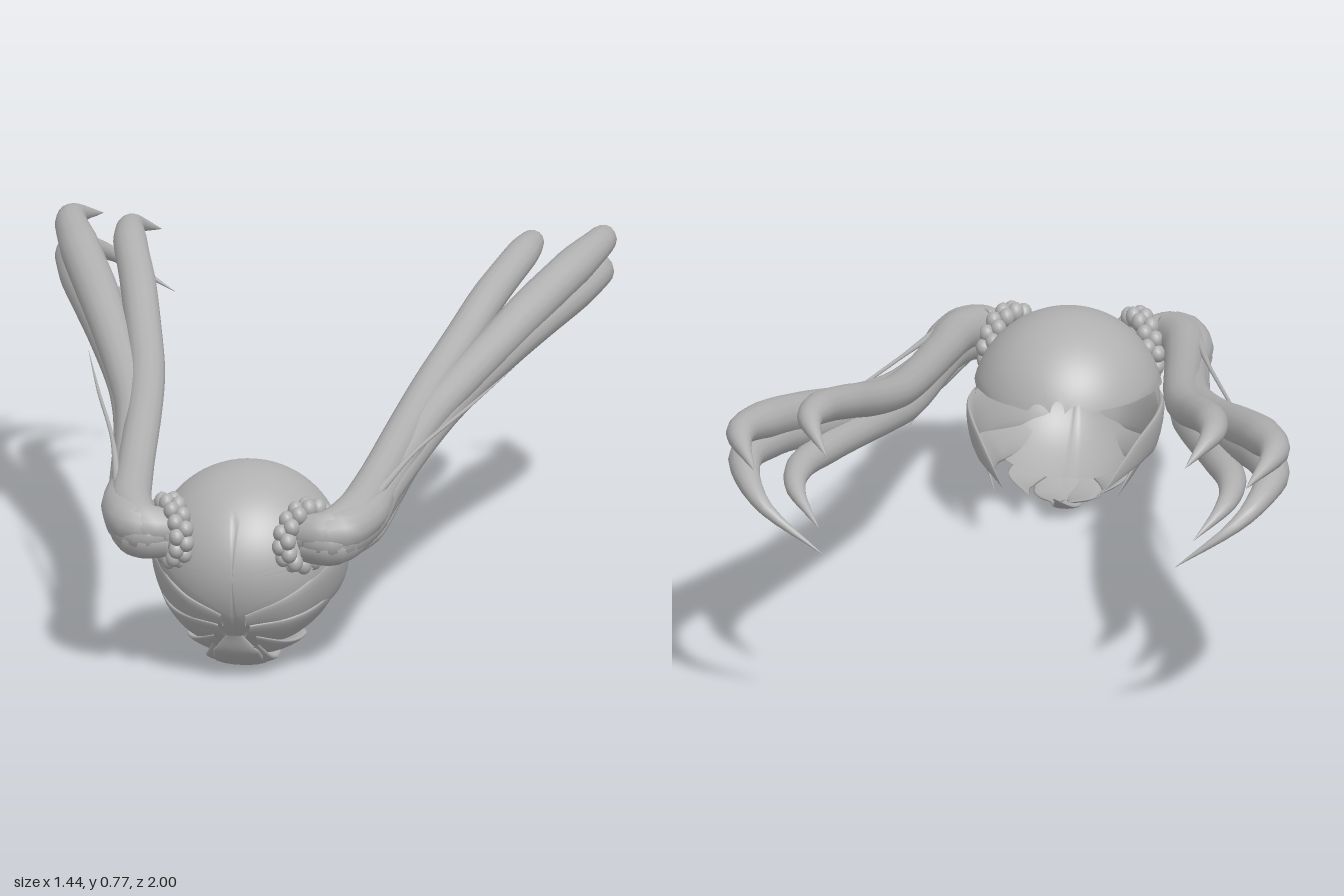
import * as THREE from 'three';

const hair = new THREE.MeshStandardMaterial({ color: 0xb0b0b0, side: THREE.DoubleSide });
hair.name = 'hair grey';

const C = new THREE.Vector3(0, 0.29, 0.72); // middle of the head
const R = new THREE.Vector3(0.245, 0.24, 0.265);

function gridMesh(name, pos, rows, cols, flip) {
  const index = [];
  for (let j = 0; j < rows; j++) for (let i = 0; i < cols; i++) {
    const k = (i + 1) % cols;
    const a = j * cols + i, b = j * cols + k, c = a + cols, d = b + cols;
    if (flip) index.push(a, c, b, b, c, d);
    else index.push(a, b, c, b, d, c);
  }
  const g = new THREE.BufferGeometry();
  g.setAttribute('position', new THREE.Float32BufferAttribute(pos, 3));
  g.setIndex(index);
  g.computeVertexNormals();
  const mesh = new THREE.Mesh(g, hair);
  mesh.name = name;
  return mesh;
}

// Ellipsoid shell around the +z pole, cut off at rim(angle from +y)
function shell(name, scale, rim) {
  const rows = 36, cols = 120, pos = [];
  for (let j = 0; j <= rows; j++) for (let i = 0; i < cols; i++) {
    const a = (i / cols) * Math.PI * 2;
    const half = Math.min(a, Math.PI * 2 - a);
    const t = Math.max(0.001, (j / rows) * rim(half));
    const seam = (i === cols / 2 || (i === 0 && t < 0.65)) && j > 0 ? 0.985 : 1;
    const s = scale * seam;
    pos.push(C.x + R.x * s * Math.sin(t) * Math.sin(a),
      C.y + R.y * s * Math.sin(t) * Math.cos(a),
      C.z + R.z * s * Math.cos(t));
  }
  return gridMesh(name, pos, rows, cols, false);
}

// Tapering lock: points are [x, y, z, half width]; flat = thickness / width.
// Its broad face looks away from the head, or upwards when up is true.
function lock(name, points, side, flat, up) {
  const rows = 48, cols = 14, pos = [];
  const curve = new THREE.CatmullRomCurve3(
    points.map(p => new THREE.Vector3(p[0] * side, p[1], p[2])), false, 'centripetal');
  for (let j = 0; j <= rows; j++) {
    const u = j / rows;
    const p = curve.getPoint(u), T = curve.getTangent(u);
    const f = u * (points.length - 1), k = Math.min(points.length - 2, Math.floor(f));
    const w = THREE.MathUtils.lerp(points[k][3], points[k + 1][3], f - k) + 0.0004;
    const out = up ? new THREE.Vector3(0, 1, 0) : p.clone().sub(C).divide(R).divide(R);
    const S = new THREE.Vector3().crossVectors(T, out).normalize();
    const N = new THREE.Vector3().crossVectors(S, T).normalize();
    for (let i = 0; i < cols; i++) {
      const a = (i / cols) * Math.PI * 2;
      const v = p.clone().addScaledVector(S, Math.cos(a) * w).addScaledVector(N, Math.sin(a) * w * flat);
      pos.push(v.x, v.y, v.z);
    }
  }
  return gridMesh(name, pos, rows, cols, true);
}

const tailLocks = {
  tailInnerLock: [[.17, .40, .90, .05], [.24, .41, .915, .058], [.285, .43, .82, .056], [.31, .46, .6, .048],
    [.345, .525, .2, .046], [.37, .565, 0, .046], [.41, .62, -.2, .046], [.455, .685, -.4, .046],
    [.505, .738, -.6, .043], [.515, .745, -.71, .03], [.46, .70, -.84, 0]],
  tailLowerLock: [[.18, .37, .90, .05], [.25, .375, .915, .055], [.30, .39, .8, .05], [.325, .41, .6, .045],
    [.36, .46, .2, .044], [.40, .495, 0, .044], [.45, .53, -.2, .044], [.51, .555, -.4, .044],
    [.555, .567, -.58, .036], [.55, .555, -.71, .024], [.48, .50, -.83, 0]],
  tailUpperOuterLock: [[.17, .39, .90, .05], [.26, .41, .915, .058], [.31, .42, .8, .055], [.325, .44, .6, .045],
    [.375, .51, .2, .045], [.425, .55, 0, .048], [.49, .60, -.2, .05], [.56, .655, -.4, .054],
    [.64, .71, -.62, .052], [.685, .735, -.8, .036], [.63, .70, -.97, 0]],
  tailLowerOuterLock: [[.18, .39, .90, .05], [.25, .39, .92, .055], [.31, .40, .8, .05], [.33, .43, .6, .045],
    [.38, .48, .2, .045], [.425, .52, 0, .047], [.49, .565, -.2, .05], [.565, .61, -.4, .052],
    [.64, .645, -.6, .05], [.675, .655, -.78, .042], [.61, .60, -.95, .02], [.45, .49, -1.0, 0]],
  upperWisp: [[.33, .46, .75, .012], [.39, .50, .45, .005], [.48, .53, .1, .004], [.55, .555, -.19, 0]],
  lowerWisp: [[.27, .345, .9, .02], [.32, .35, .7, .024], [.345, .375, .45, .014], [.36, .383, .23, 0]],
};

const bangLocks = {
  sideBang: [[.03, .175, .955, .02], [.13, .195, .91, .05], [.212, .235, .78, .07],
    [.235, .25, .64, .062], [.205, .24, .5, .042], [.13, .18, .36, 0]],
  lowerSideBang: [[.03, .14, .935, .03], [.13, .14, .87, .05], [.19, .16, .74, .052],
    [.195, .18, .6, .045], [.155, .14, .42, 0]],
  cheekBang: [[.03, .115, .92, .03], [.09, .075, .82, .045], [.12, .07, .72, .038], [.085, .085, .57, 0]],
  frontBang: [[.015, .10, .92, .045], [.03, .045, .84, .06], [.04, .03, .72, .048], [.02, .07, .56, 0]],
};

export function createModel() {
  const group = new THREE.Group();
  group.name = 'twinTailHair';

  // Back cap: ragged at the nape, V-shaped edge above the fringe
  group.add(shell('backCap', 1, a => {
    const v = 0.633 * Math.sin(a) - Math.cos(a);
    if (a > 1.39) return Math.asin(Math.min(1, 0.458 / v));
    const c = Math.cos(a);
    const nape = Math.PI - Math.asin(Math.min(1, 0.24 / Math.max(c, 0.24)));
    return nape - 0.13 * Math.abs(Math.cos(a * 5)) * c;
  }));
  // Fringe shell below the V edge
  group.add(shell('fringeShell', 0.965, a =>
    a < 1.2 ? 1.2 : THREE.MathUtils.lerp(1.75, 1.4, (a - 1.2) / (Math.PI - 1.2))));

  // Central fringe tuft
  group.add(lock('centreTuft', [[0, .135, .945, .02], [0, .085, .91, .06], [0, .04, .83, .07],
    [0, .02, .73, .05], [0, .035, .63, .03], [.02, .08, .56, 0]], 1, 0.22, false));

  for (const side of [1, -1]) {
    const half = new THREE.Group();
    half.name = side > 0 ? 'leftSide' : 'rightSide';
    for (const [name, pts] of Object.entries(bangLocks)) half.add(lock(name, pts, side, 0.2, false));
    for (const [name, pts] of Object.entries(tailLocks)) half.add(lock(name, pts, side, 0.95, true));

    // Braided tie around the root of the tail
    const braid = new THREE.Group();
    braid.name = 'braidTie';
    const bead = new THREE.SphereGeometry(0.026, 14, 10);
    const count = 13;
    for (let i = 0; i < count; i++) {
      const a = (i / count) * Math.PI * 2;
      for (const row of [-1, 1]) {
        const m = new THREE.Mesh(bead, hair);
        m.name = 'braidLoop';
        const c = Math.cos(a + row * 0.12), s = Math.sin(a + row * 0.12);
        m.position.set(side * (0.172 - 0.04 * c + row * 0.011), 0.388 + 0.072 * s, 0.882 + 0.09 * c + row * 0.004);
        m.scale.set(0.8, 0.9, 1);
        m.rotation.x = -a;
        braid.add(m);
      }
    }
    half.add(braid);
    group.add(half);
  }
  return group;
}
